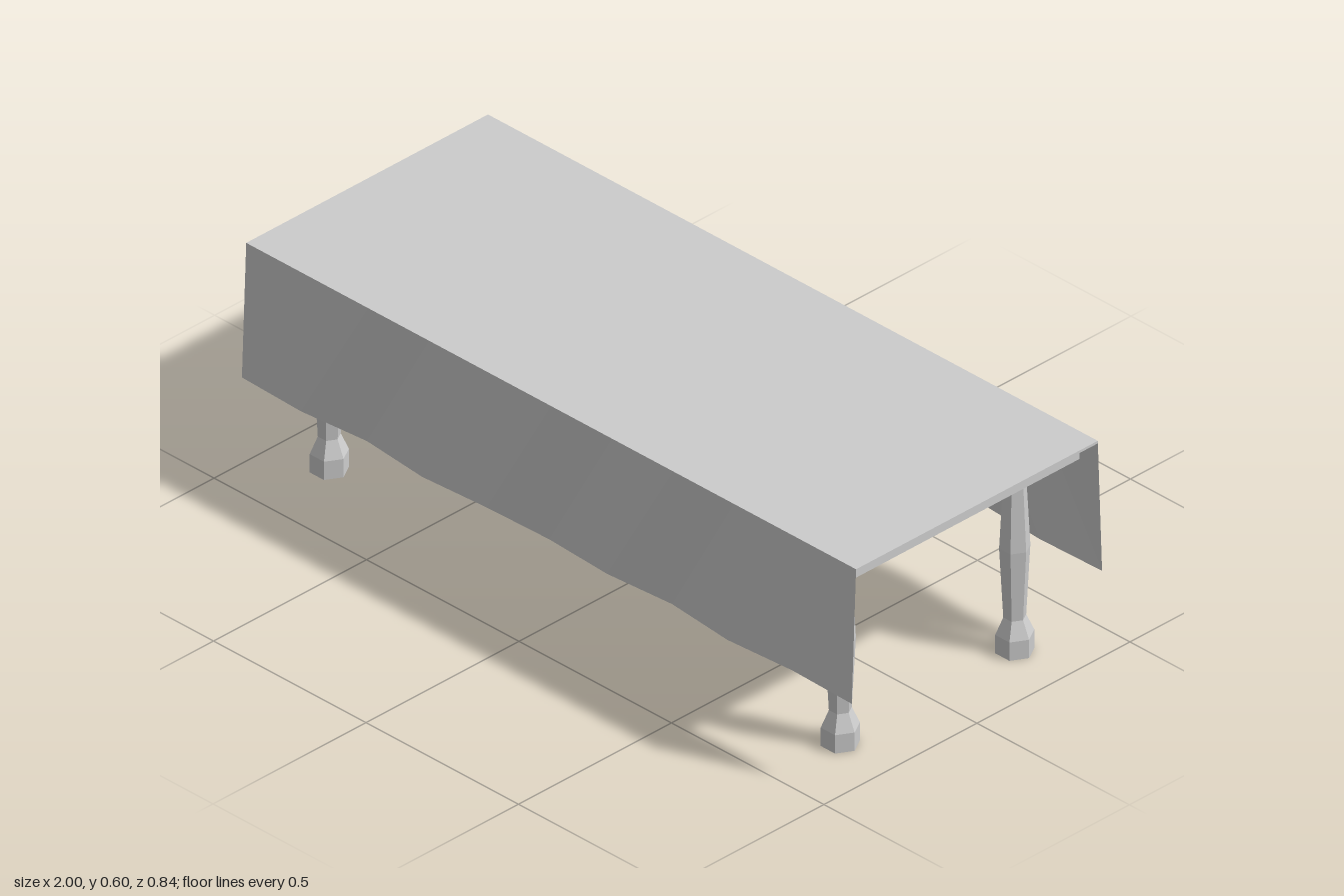
import * as THREE from 'three';

const fabric = new THREE.MeshStandardMaterial({ color: 0xcccccc, flatShading: true, side: THREE.DoubleSide });
fabric.name = 'paleGrey';

function add(parent, geometry, name, x = 0, y = 0, z = 0) {
  const mesh = new THREE.Mesh(geometry, fabric);
  mesh.name = name;
  mesh.position.set(x, y, z);
  parent.add(mesh);
  return mesh;
}

// Hanging cloth: straight at the table edge, gently waved at the hem
function drapeGeometry(side) {
  const hem = [0.409, 0.416, 0.399, 0.418, 0.406, 0.401, 0.412, 0.398, 0.417, 0.404, 0.409];
  const geometry = new THREE.PlaneGeometry(2, 0.362, hem.length - 1, 1);
  if (side < 0) geometry.rotateY(Math.PI);
  const p = geometry.attributes.position;
  for (let i = 0; i < p.count; i++) {
    const atTop = p.getY(i) > 0;
    const column = Math.round((p.getX(i) + 1) * 5);
    p.setY(i, atTop ? 0.597 : 0.235);
    p.setZ(i, side * (atTop ? 0.395 : hem[column]));
  }
  geometry.computeVertexNormals();
  return geometry;
}

export function createModel() {
  const table = new THREE.Group();
  table.name = 'drapedTable';

  // Top cloth and the table body below it
  add(table, new THREE.BoxGeometry(2, 0.007, 0.79), 'tableTop', 0, 0.5935, 0);
  add(table, new THREE.BoxGeometry(1.91, 0.056, 0.76), 'apron', 0, 0.562, 0);

  // Cloth hanging over the long sides
  add(table, drapeGeometry(1), 'frontDrape');
  add(table, drapeGeometry(-1), 'backDrape');

  // Six-sided turned legs, with a corner pointing along x
  const profile = [
    [0, 0], [0.047, 0], [0.047, 0.05], [0.0275, 0.095],
    [0.0375, 0.285], [0.0275, 0.475], [0.0395, 0.535], [0, 0.535],
  ].map(([r, y]) => new THREE.Vector2(r, y));
  const legGeometry = new THREE.LatheGeometry(profile, 6, Math.PI / 2);
  for (const x of [1, -1]) {
    for (const z of [1, -1]) {
      const name = (z > 0 ? 'front' : 'back') + (x > 0 ? 'Left' : 'Right') + 'Leg';
      add(table, legGeometry, name, x * 0.838, 0, z * 0.285);
    }
  }
  return table;
}
